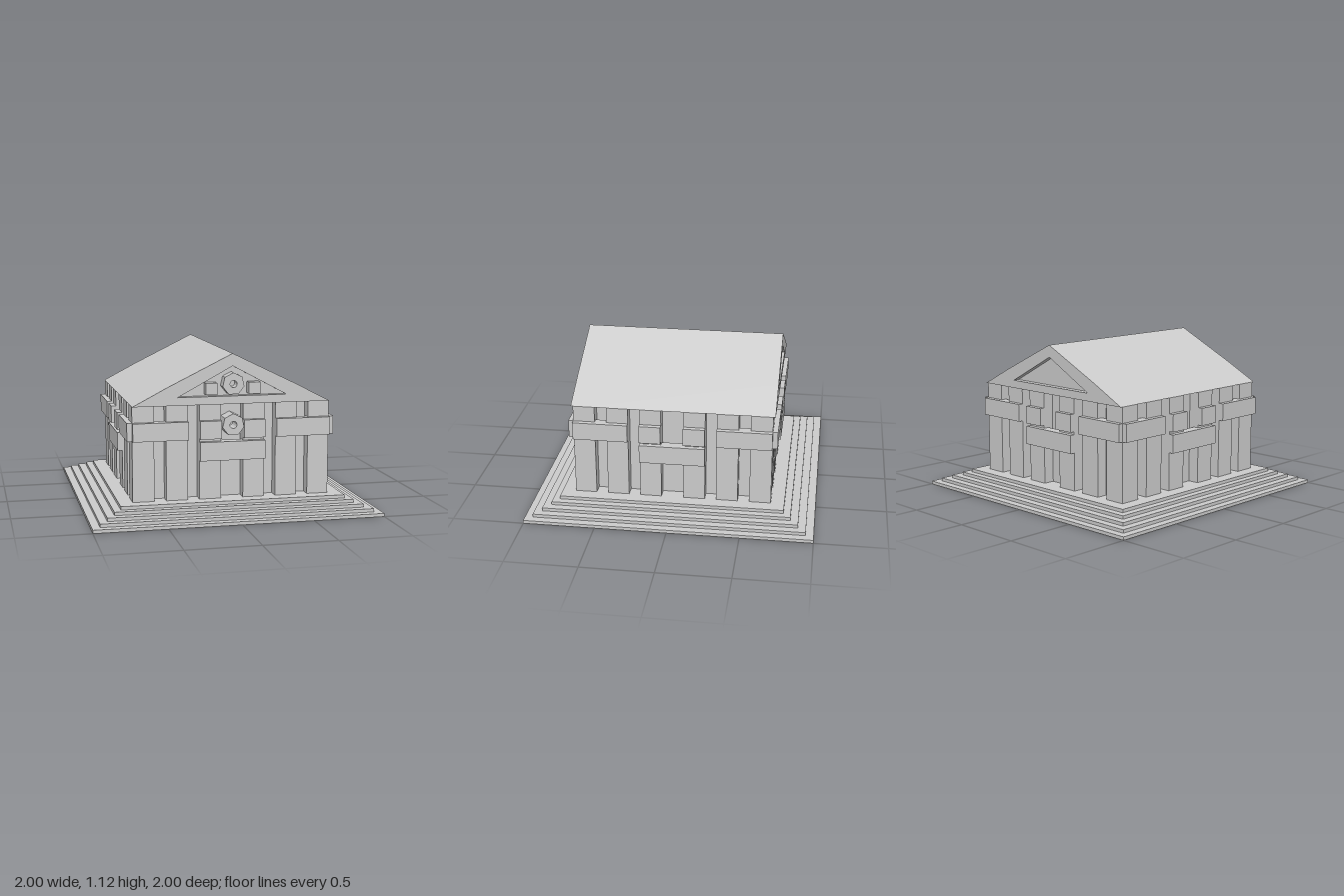
import * as THREE from 'three';

const mat = new THREE.MeshStandardMaterial({ color: 0xcccccc, flatShading: true, side: THREE.DoubleSide });

const WALL = 0.61;   // wall plane
const FACE = 0.69;   // outer face of the posts
const BEAM = 0.725;  // outer face of the beams
const FLOOR = 0.115, EAVE = 0.77;

function add(parent, name, geometry) {
  const mesh = new THREE.Mesh(geometry, mat);
  mesh.name = name;
  parent.add(mesh);
  return mesh;
}

// Box given by its lower and upper limits on each axis
function block(parent, name, x0, x1, y0, y1, z0, z1) {
  const mesh = add(parent, name, new THREE.BoxGeometry(x1 - x0, y1 - y0, z1 - z0));
  mesh.position.set((x0 + x1) / 2, (y0 + y1) / 2, (z0 + z1) / 2);
  return mesh;
}

const outline = (pts) => new THREE.Shape(pts.map(([x, y]) => new THREE.Vector2(x, y)));

// Shape pushed along z from z0 to z1
function slab(parent, name, shape, z0, z1) {
  const geo = new THREE.ExtrudeGeometry(shape, { depth: z1 - z0, bevelEnabled: false, curveSegments: 6 });
  geo.translate(0, 0, z0);
  return add(parent, name, geo);
}

// Square hollow shell swept from a half-width profile
function squareShell(parent, name, profile) {
  const pts = profile.map(([r, y]) => new THREE.Vector2(r * Math.SQRT2, y));
  return add(parent, name, new THREE.LatheGeometry(pts, 4, Math.PI / 4));
}

// One side of the hall: posts, upper beams and the lower beam
function facade() {
  const side = new THREE.Group();
  for (const s of [-1, 1]) {
    const pair = (name, a, b, y0, y1, z0, z1) =>
      block(side, name, Math.min(s * a, s * b), Math.max(s * a, s * b), y0, y1, z0, z1);
    for (const [a, b] of [[0.078, 0.228], [0.308, 0.458], [0.54, FACE]])
      pair('post', a, b, FLOOR, EAVE, WALL, FACE);
    pair('upperBeam', 0.308, FACE, 0.535, 0.66, 0.65, BEAM);
    pair('upperBlock', 0.078, 0.228, 0.535, 0.66, 0.65, BEAM);
  }
  block(side, 'lowerBeam', -0.228, 0.228, 0.385, 0.515, 0.65, BEAM);
  return side;
}

// Seven-sided boss with a round bore
function boss(parent, y, z0, z1) {
  const pts = [];
  for (let i = 0; i < 7; i++) {
    const a = Math.PI / 2 + (i * 2 * Math.PI) / 7;
    pts.push([0.077 * Math.cos(a), y + 0.077 * Math.sin(a)]);
  }
  const shape = outline(pts);
  shape.holes.push(new THREE.Path().absarc(0, y, 0.025, 0, Math.PI * 2, true));
  slab(parent, 'boss', shape, z0, z1);
}

export function createModel() {
  const model = new THREE.Group();
  model.name = 'temple';

  // Stepped base, hollow underneath
  const halves = [1, 0.945, 0.89, 0.835, 0.785];
  const steps = [];
  halves.forEach((h, i) => steps.push([h, (i * FLOOR) / 5], [h, ((i + 1) * FLOOR) / 5]));
  steps.push([WALL, FLOOR]);
  squareShell(model, 'steppedBase', steps);
  squareShell(model, 'walls', [[WALL, FLOOR], [WALL, EAVE]]);

  // The same facade on all four sides
  for (let i = 0; i < 4; i++) {
    const side = facade();
    side.name = 'facade';
    side.rotation.y = (i * Math.PI) / 2;
    model.add(side);
  }

  // Roof, open below into the hall
  const roof = new THREE.Group();
  roof.name = 'roof';
  model.add(roof);
  const top = [[0.69, EAVE], [0.45, 0.895], [0, 1.115], [-0.45, 0.895], [-0.69, EAVE]];
  slab(roof, 'roofSlopes', outline([...top, [-WALL, EAVE], [0, 1.07], [WALL, EAVE]]), -WALL, WALL);

  // Gables with a sunken triangular panel
  const frame = outline(top);
  frame.holes.push(outline([[-0.38, 0.825], [0, 1.03], [0.38, 0.825]]));
  for (const s of [-1, 1]) {
    const span = (a, b) => (s > 0 ? [a, b] : [-b, -a]);
    slab(roof, 'gablePanel', outline(top), ...span(WALL, 0.66));
    slab(roof, 'gableFrame', frame, ...span(0.66, 0.705));
  }

  // Front ornaments
  const ornaments = new THREE.Group();
  ornaments.name = 'frontOrnaments';
  model.add(ornaments);
  boss(ornaments, 0.91, 0.65, 0.732);
  boss(ornaments, 0.63, WALL, 0.732);
  for (const x of [-0.15, 0.15])
    block(ornaments, 'gableBlock', x - 0.04, x + 0.04, 0.838, 0.918, 0.64, 0.72);

  return model;
}
